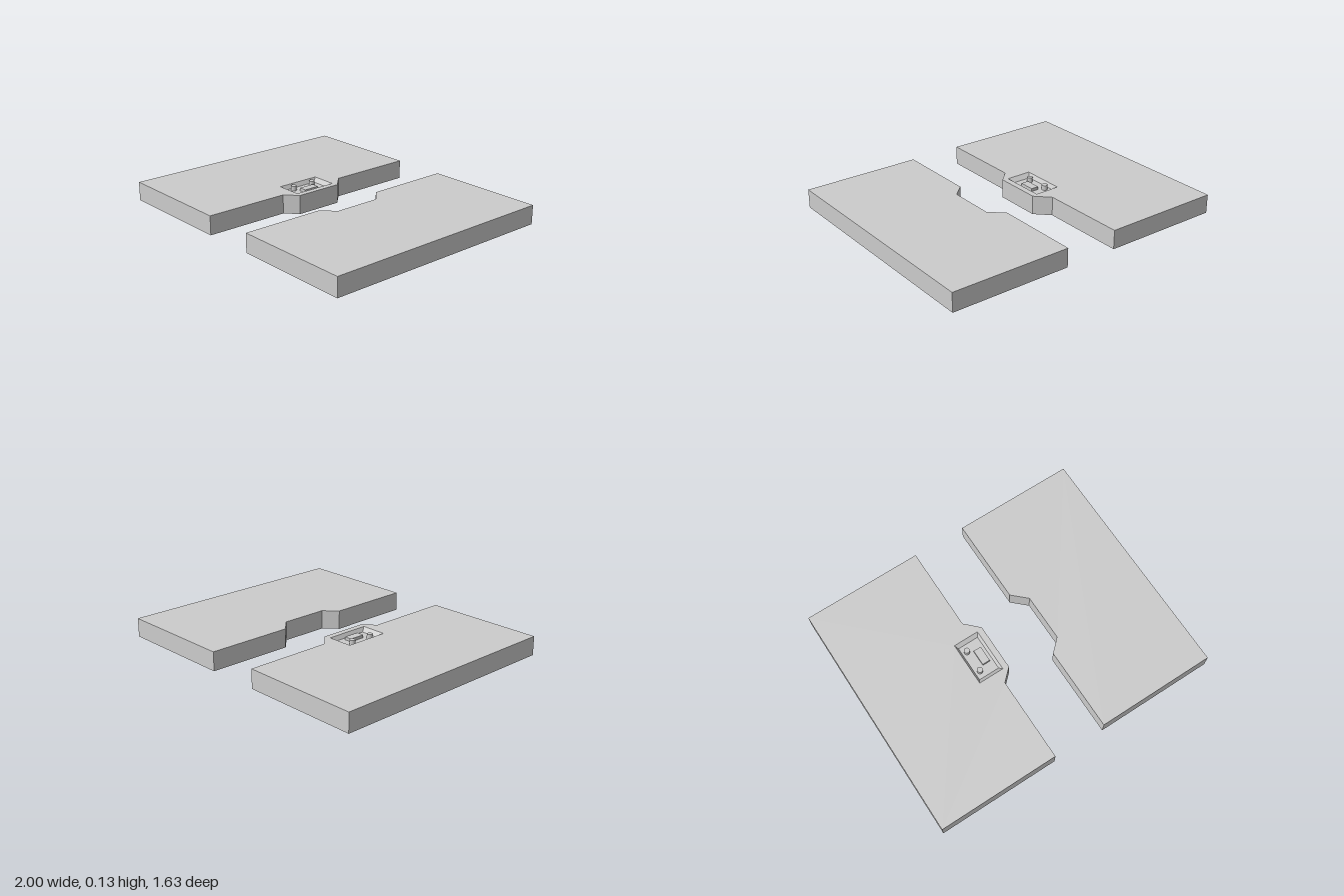
import * as THREE from 'three';
import { mergeGeometries } from 'three/addons/utils/BufferGeometryUtils.js';

const H = 0.128, FLOOR = 0.1;
const material = new THREE.MeshStandardMaterial({ color: 0xcccccc, flatShading: true });

// Outlines are lists of [x, z], clockwise seen from above
const rect = (x0, x1, z0, z1) => [[x0, z0], [x1, z0], [x1, z1], [x0, z1]];

// Ring of quads joining two matching outlines at two heights
function band(a, ya, b, yb) {
  const p = [];
  a.forEach(([x, z], i) => {
    const j = (i + 1) % a.length;
    const A = [x, ya, z], B = [b[i][0], yb, b[i][1]];
    const C = [b[j][0], yb, b[j][1]], D = [a[j][0], ya, a[j][1]];
    p.push(...A, ...B, ...C, ...A, ...C, ...D);
  });
  const g = new THREE.BufferGeometry();
  g.setAttribute('position', new THREE.Float32BufferAttribute(p, 3));
  g.computeVertexNormals();
  return g;
}

// Flat horizontal face facing up (s = 1) or down (s = -1)
function cap(outline, y, s, hole) {
  const points = (o) => o.map(([x, z]) => new THREE.Vector2(x, -s * z));
  const shape = new THREE.Shape(points(outline));
  if (hole) shape.holes.push(new THREE.Path(points(hole)));
  const g = new THREE.ShapeGeometry(shape).toNonIndexed();
  g.deleteAttribute('uv');
  return g.rotateX(-s * Math.PI / 2).translate(0, y, 0);
}

function slab(outline, hole, floor) {
  const parts = [cap(outline, 0, -1), band(outline, 0, outline, H), cap(outline, H, 1, hole)];
  if (hole) parts.push(band(hole, H, floor, FLOOR), cap(floor, FLOOR, 1));
  return mergeGeometries(parts);
}

export function createModel() {
  const model = new THREE.Group();
  const add = (name, geometry, x = 0, y = 0, z = 0) => {
    const mesh = new THREE.Mesh(geometry, material);
    mesh.name = name;
    mesh.position.set(x, y, z);
    model.add(mesh);
  };

  // Slab with a projecting tab and a sloped recess
  add('tabbedSlab', slab(
    [[-1, -0.82], [-0.185, -0.82], [-0.185, -0.24], [-0.095, -0.15],
      [-0.095, 0.17], [-0.175, 0.245], [-0.175, 0.815], [-1, 0.815]],
    rect(-0.31, -0.135, -0.14, 0.16),
    rect(-0.295, -0.15, -0.117, 0.133)));

  // Slab with the matching notch
  add('notchedSlab', slab(
    [[0.18, -0.82], [1, -0.82], [1, 0.815], [0.19, 0.815],
      [0.19, 0.25], [0.275, 0.17], [0.275, -0.15], [0.18, -0.24]]));

  // Two round buttons and a rectangular one on the recess floor
  const knobHeight = 0.032;
  for (const z of [-0.068, 0.086]) {
    add('roundButton', new THREE.CylinderGeometry(0.019, 0.019, knobHeight, 24),
      -0.261, FLOOR + knobHeight / 2, z);
  }
  add('rectangularButton', new THREE.BoxGeometry(0.053, 0.02, 0.108), -0.198, FLOOR + 0.01, 0.009);

  return model;
}
